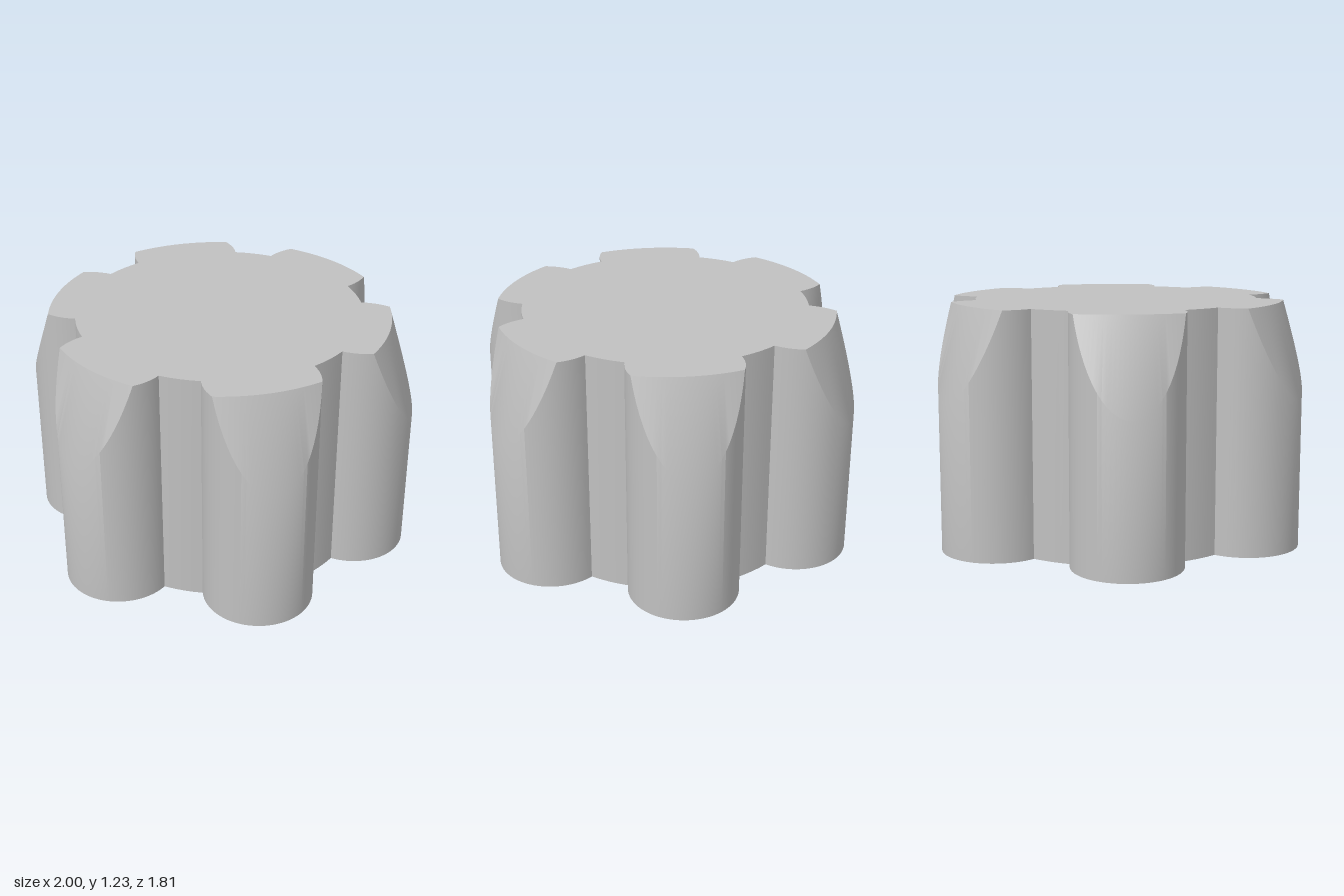
import * as THREE from 'three';
import { toCreasedNormals } from 'three/addons/utils/BufferGeometryUtils.js';

const H = 1.225;            // height
const LOBE_R = 0.277, LOBE_C = 0.723, CORE_R = 0.725;
const RIM_R = 0.86, SHOULDER_Y = 0.76;   // conical chamfer: RIM_R at the top, 1.0 at SHOULDER_Y
const HEX_R = 0.32, HEX_DEPTH = 0.28;

// Angle on a lobe, from its outward direction, where the lobe is at distance r from the axis
const lobeAngle = (r) =>
  Math.acos((r * r - LOBE_C ** 2 - LOBE_R ** 2) / (2 * LOBE_C * LOBE_R));

// Counter-clockwise plan of the six-lobed grip
function gripOutline() {
  const end = lobeAngle(CORE_R), rim = lobeAngle(RIM_R);
  const angles = [];
  const span = (a, b, n) => {
    for (let i = 0; i < n; i++) angles.push(a + ((b - a) * i) / n);
  };
  span(-end, -rim, 6);
  span(-rim, rim, 28);
  span(rim, end, 6);
  angles.push(end);

  const pts = [];
  const valley = Math.atan2(LOBE_R * Math.sin(end), LOBE_C + LOBE_R * Math.cos(end));
  for (let k = 0; k < 6; k++) {
    const t = (k * Math.PI) / 3;
    for (const a of angles) {
      pts.push(new THREE.Vector2(LOBE_C + LOBE_R * Math.cos(a), LOBE_R * Math.sin(a))
        .rotateAround(new THREE.Vector2(), t));
    }
    // Core arc between this lobe and the next
    for (let i = 1; i < 4; i++) {
      const a = t + valley + ((Math.PI / 3 - 2 * valley) * i) / 4;
      pts.push(new THREE.Vector2(CORE_R * Math.cos(a), CORE_R * Math.sin(a)));
    }
  }
  return pts;
}

// Closed wall through rings of points, listed from bottom to top
function wall(rings, crease) {
  const pos = [];
  const tri = (a, b, c) => {
    const area = b.clone().sub(a).cross(c.clone().sub(a)).length();
    if (area > 1e-7) for (const p of [a, b, c]) pos.push(p.x, p.y, p.z);
  };
  for (let r = 0; r + 1 < rings.length; r++) {
    const lo = rings[r], hi = rings[r + 1];
    for (let i = 0; i < lo.length; i++) {
      const j = (i + 1) % lo.length;
      tri(lo[i], lo[j], hi[j]);
      tri(lo[i], hi[j], hi[i]);
    }
  }
  const g = new THREE.BufferGeometry();
  g.setAttribute('position', new THREE.Float32BufferAttribute(pos, 3));
  return toCreasedNormals(g, crease);
}

const ring = (pts, y) => pts.map((p) => new THREE.Vector3(p.x, y, -p.y));

export function createModel() {
  const group = new THREE.Group();
  const grey = new THREE.MeshStandardMaterial({ color: 0xc0c0c0 });
  grey.name = 'grey';
  const add = (name, geometry) => {
    const mesh = new THREE.Mesh(geometry, grey);
    mesh.name = name;
    group.add(mesh);
    return mesh;
  };

  const outline = gripOutline();
  const rimPts = outline.map((p) => p.clone().multiplyScalar(Math.min(1, RIM_R / p.length())));
  const hex = Array.from({ length: 6 }, (_, k) =>
    new THREE.Vector2(HEX_R * Math.cos((k * Math.PI) / 3), HEX_R * Math.sin((k * Math.PI) / 3)));

  // Grip sides, with the lobes cut by the conical chamfer
  const shoulder = outline.map((p) => {
    const t = Math.max(0, (p.length() - RIM_R) / (1 - RIM_R));
    return new THREE.Vector3(p.x, H - t * (H - SHOULDER_Y), -p.y);
  });
  add('gripSides', wall([ring(outline, 0), shoulder, ring(rimPts, H)], 0.5));

  // Flat top
  add('topFace', new THREE.ShapeGeometry(new THREE.Shape(rimPts)).rotateX(-Math.PI / 2))
    .position.y = H;

  // Underside with a hexagonal opening
  const base = new THREE.Shape(outline);
  base.holes.push(new THREE.Path(hex));
  add('underside', new THREE.ShapeGeometry(base).rotateX(Math.PI / 2));

  // Blind hexagonal socket, facing inwards and down
  const inward = [...hex].reverse();
  add('socketWalls', wall([ring(inward, 0), ring(inward, HEX_DEPTH)], 0.3));
  add('socketCeiling', new THREE.ShapeGeometry(new THREE.Shape(hex)).rotateX(Math.PI / 2))
    .position.y = HEX_DEPTH;

  return group;
}
